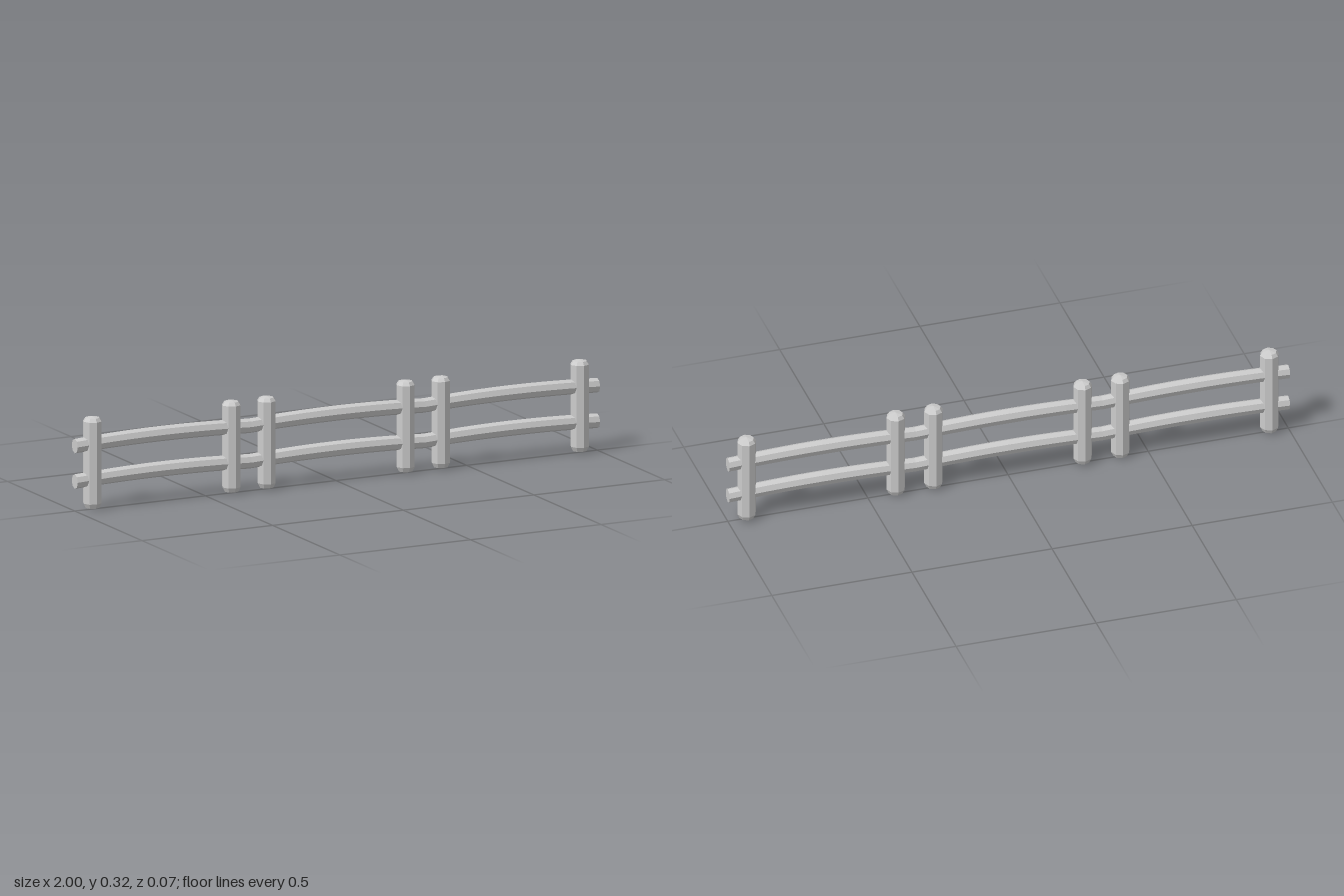
import * as THREE from 'three';

const PANEL = 2 / 3; // length of one fence panel

// Eight-sided post with chamfered, slightly pointed ends
function postGeometry() {
  const profile = [[0, 0], [0.025, 0.006], [0.033, 0.022], [0.033, 0.308], [0.025, 0.32], [0, 0.325]];
  return new THREE.LatheGeometry(profile.map(([r, y]) => new THREE.Vector2(r, y)), 8);
}

// Eight-sided rail along x, arched upward and a little thinner at its ends
function railGeometry() {
  const geo = new THREE.CylinderGeometry(1, 1, PANEL, 8, 10).rotateZ(Math.PI / 2);
  const pos = geo.attributes.position;
  for (let i = 0; i < pos.count; i++) {
    const t = pos.getX(i) / (PANEL / 2);
    const arch = 1 - t * t;
    const ry = 0.0255 + 0.0015 * arch;
    const rz = 0.0225 + 0.002 * arch;
    pos.setY(i, pos.getY(i) * ry + 0.009 * arch);
    pos.setZ(i, pos.getZ(i) * rz);
  }
  geo.computeVertexNormals();
  return geo;
}

export function createModel() {
  const fence = new THREE.Group();
  fence.name = 'fence';
  const material = new THREE.MeshStandardMaterial({ color: 0xcccccc, flatShading: true });
  const post = postGeometry();
  const rail = railGeometry();

  const add = (parent, name, geometry, x, y) => {
    const mesh = new THREE.Mesh(geometry, material);
    mesh.name = name;
    mesh.position.set(x, y, 0);
    parent.add(mesh);
  };

  // Three identical panels side by side
  ['rightPanel', 'middlePanel', 'leftPanel'].forEach((name, i) => {
    const panel = new THREE.Group();
    panel.name = name;
    panel.position.x = (i - 1) * PANEL;
    add(panel, 'rightPost', post, -0.266, 0);
    add(panel, 'leftPost', post, 0.266, 0);
    add(panel, 'lowerRail', rail, 0, 0.103);
    add(panel, 'upperRail', rail, 0, 0.227);
    fence.add(panel);
  });
  return fence;
}
